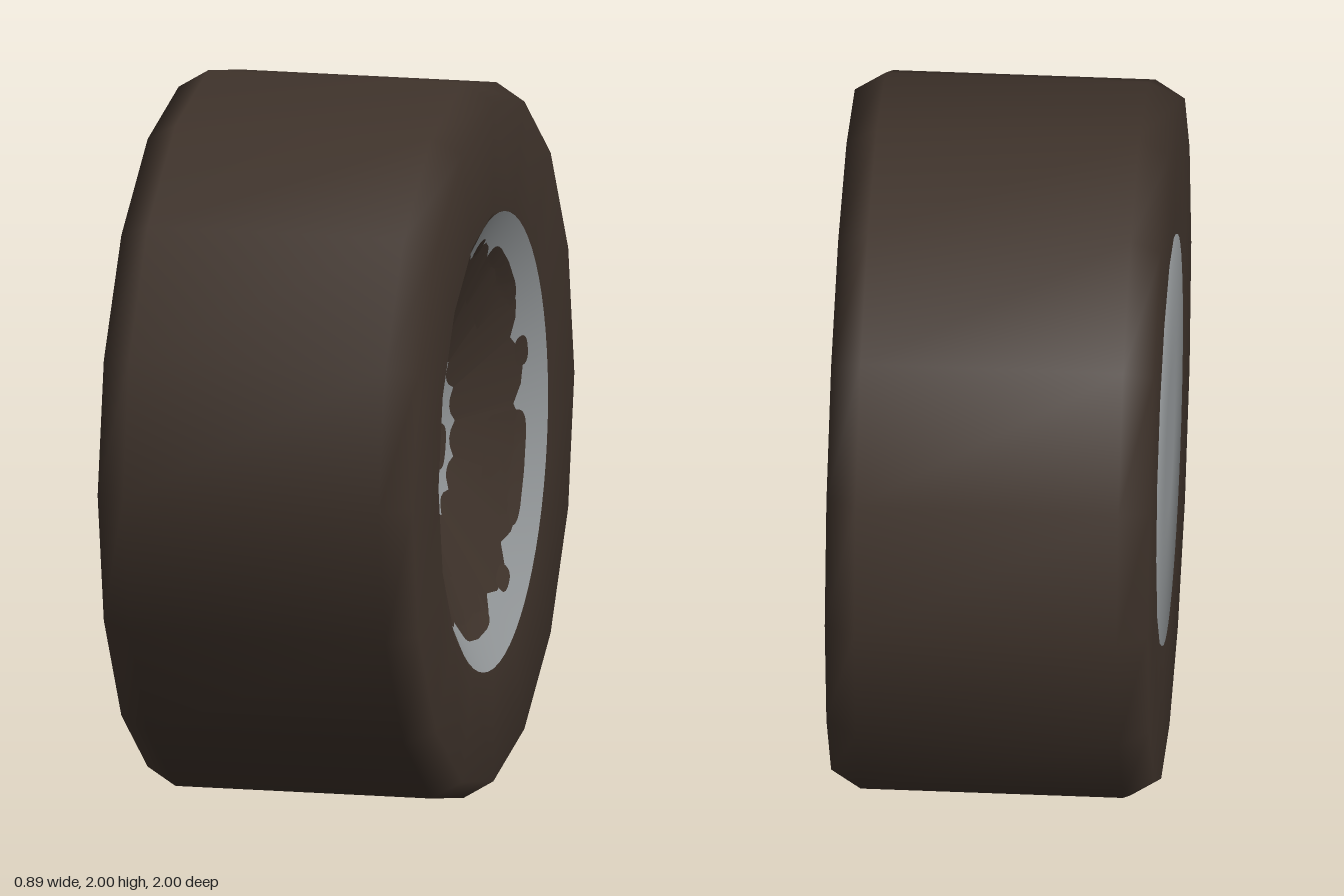
import * as THREE from 'three';

const rubber = new THREE.MeshStandardMaterial({ name: 'dark brown rubber', color: 0x3f332b });
const metal = new THREE.MeshStandardMaterial({ name: 'grey metal', color: 0x95999b });
const orange = new THREE.MeshStandardMaterial({ name: 'orange hub', color: 0xc04d0a });

// Dished wheel face: [radius, x] from rim to centre
const DISH = [[0.633, 0.445], [0.5, 0.375], [0.3, 0.29], [0.1, 0.222], [0, 0.215]];

function dishX(r) {
  for (let i = 1; i < DISH.length; i++) {
    const [r1, x1] = DISH[i - 1], [r0, x0] = DISH[i];
    if (r >= r0) return x0 + (x1 - x0) * (r - r0) / (r1 - r0);
  }
  return DISH[DISH.length - 1][1];
}

// Solid of revolution around the x axis, profile given as [radius, x]
function turned(name, profile, segments, material) {
  const pts = profile.map(([r, x]) => new THREE.Vector2(r, x));
  const geo = new THREE.LatheGeometry(pts, segments).rotateZ(-Math.PI / 2);
  const mesh = new THREE.Mesh(geo, material);
  mesh.name = name;
  return mesh;
}

// Rounded patch lying on the dish, sized in angle and radius
function dishPatch(name, angle, halfAngle, rIn, rOut, power, taper = 0) {
  const N = 32, RINGS = 6, pos = [], idx = [];
  const round = (v) => Math.sign(v) * Math.abs(v) ** (2 / power);
  for (let k = 0; k <= RINGS; k++) {
    for (let j = 0; j < N; j++) {
      const p = (j / N) * Math.PI * 2, t = k / RINGS;
      const v = round(Math.cos(p)) * t, u = round(Math.sin(p)) * t;
      const r = (rIn + rOut) / 2 + v * (rOut - rIn) / 2;
      const a = angle + u * halfAngle * (1 - taper * v);
      pos.push(dishX(r) + 0.004, r * Math.sin(a), -r * Math.cos(a));
      if (k < RINGS) {
        const a0 = k * N + j, b0 = k * N + (j + 1) % N;
        idx.push(a0, a0 + N, b0 + N);
        if (k > 0) idx.push(a0, b0 + N, b0);
      }
    }
  }
  const geo = new THREE.BufferGeometry();
  geo.setAttribute('position', new THREE.Float32BufferAttribute(pos, 3));
  geo.setIndex(idx);
  geo.computeVertexNormals();
  const mesh = new THREE.Mesh(geo, rubber);
  mesh.name = name;
  return mesh;
}

export function createModel() {
  const wheel = new THREE.Group();
  wheel.name = 'wheel';

  // Sixteen-sided tyre with chamfered shoulders, closed behind the dish
  wheel.add(turned('tyre', [
    [0, -0.438], [0.55, -0.438], [0.58, -0.443], [0.95, -0.443], [1, -0.36],
    [1, 0.36], [0.95, 0.443], [0.643, 0.443], [0.62, 0.425], [0, 0.17],
  ], 16, rubber));

  // Visible wheel face and plain inner cover
  wheel.add(turned('wheelFace', DISH, 64, metal));
  wheel.add(turned('backCover', [
    [0, -0.445], [0.2, -0.445], [0.565, -0.4445], [0.565, -0.32],
  ], 48, metal));

  // Five-fold pattern of openings
  const deg = Math.PI / 180;
  for (let i = 0; i < 5; i++) {
    const turn = i * 72;
    wheel.add(dishPatch('spokeWindow', (turn - 92) * deg, 0.318, 0.38, 0.55, 6));
    wheel.add(dishPatch('rimHole', (turn + 88) * deg, 0.083, 0.512, 0.56, 2.6));
    wheel.add(dishPatch('lugHole', (turn - 91) * deg, 0.39, 0.12, 0.205, 4, 0.15));
  }

  // Hub cap
  wheel.add(turned('hubCap', [[0.09, 0.212], [0.09, 0.23], [0, 0.23]], 24, orange));

  // Stand the wheel on the ground
  const model = new THREE.Group();
  model.name = 'standingWheel';
  wheel.position.y = 1;
  model.add(wheel);
  return model;
}
